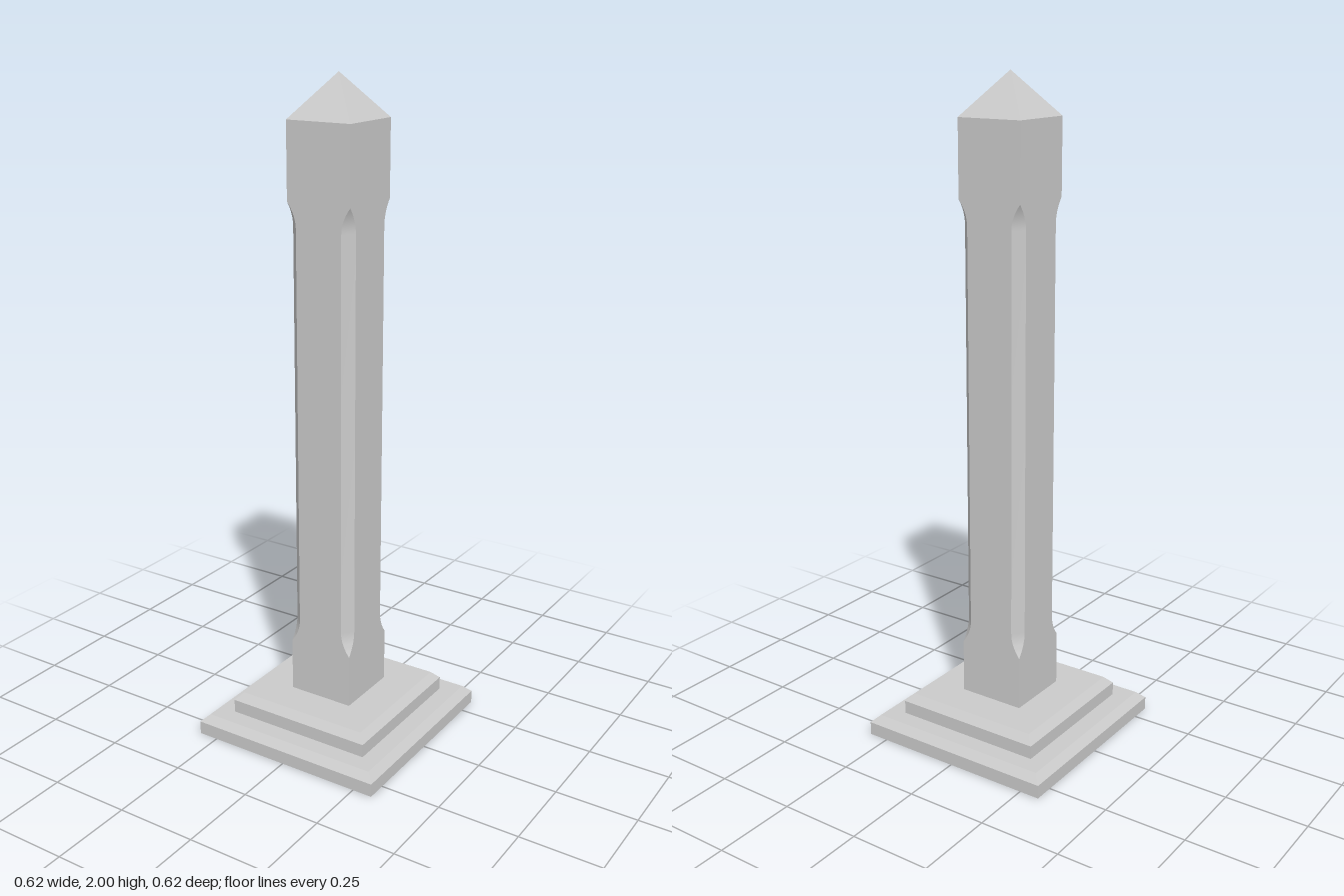
import * as THREE from 'three';
import { toCreasedNormals } from 'three/addons/utils/BufferGeometryUtils.js';

const material = new THREE.MeshStandardMaterial({ color: 0xcccccc });

// Square ring with chamfered corners, counter-clockwise seen from above
function ring([y, half, chamfer = 0]) {
  const points = [];
  for (let k = 0; k < 4; k++) {
    for (let [x, z] of [[half - chamfer, half], [half, half - chamfer]]) {
      for (let r = 0; r < k; r++) [x, z] = [z, -x];
      points.push(new THREE.Vector3(x, y, z));
    }
  }
  return points;
}

// Skin a stack of [y, half width, chamfer] sections and close both ends
function loft(name, sections) {
  const rings = sections.map(ring);
  const positions = [];
  const triangle = (a, b, c) => {
    if (new THREE.Triangle(a, b, c).getArea() < 1e-9) return;
    for (const p of [a, b, c]) positions.push(p.x, p.y, p.z);
  };
  const last = rings.length - 1;
  const bottom = new THREE.Vector3(0, sections[0][0], 0);
  const top = new THREE.Vector3(0, sections[last][0], 0);
  for (let i = 0; i < 8; i++) {
    const j = (i + 1) % 8;
    for (let s = 0; s < last; s++) {
      triangle(rings[s][i], rings[s][j], rings[s + 1][j]);
      triangle(rings[s][i], rings[s + 1][j], rings[s + 1][i]);
    }
    triangle(bottom, rings[0][j], rings[0][i]);
    triangle(top, rings[last][i], rings[last][j]);
  }
  const geometry = new THREE.BufferGeometry();
  geometry.setAttribute('position', new THREE.Float32BufferAttribute(positions, 3));
  const mesh = new THREE.Mesh(toCreasedNormals(geometry, Math.PI / 9), material);
  mesh.name = name;
  return mesh;
}

export function createModel() {
  const model = new THREE.Group();
  model.name = 'obelisk';

  // Two bevelled plinth steps
  model.add(loft('lowerStep', [[0, 0.312], [0.041, 0.312], [0.063, 0.289]]));
  model.add(loft('upperStep', [[0.063, 0.235], [0.104, 0.235], [0.127, 0.213]]));

  // Shaft with stopped corner chamfers that curve out at both ends
  const half = 0.104, depth = 0.029, steps = 8;
  const lower = [], upper = [];
  for (let i = 0; i <= steps; i++) {
    const t = i / steps;
    const chamfer = depth * (1 - (1 - t) ** 2);
    lower.push([0.292 + 0.075 * t, half, chamfer]);
    upper.unshift([1.652 - 0.075 * t, half, chamfer]);
  }
  model.add(loft('shaft', [[0.127, half], ...lower, ...upper, [1.875, half]]));

  // Pyramid tip
  model.add(loft('pyramidTip', [[1.875, half], [2, 0]]));
  return model;
}
